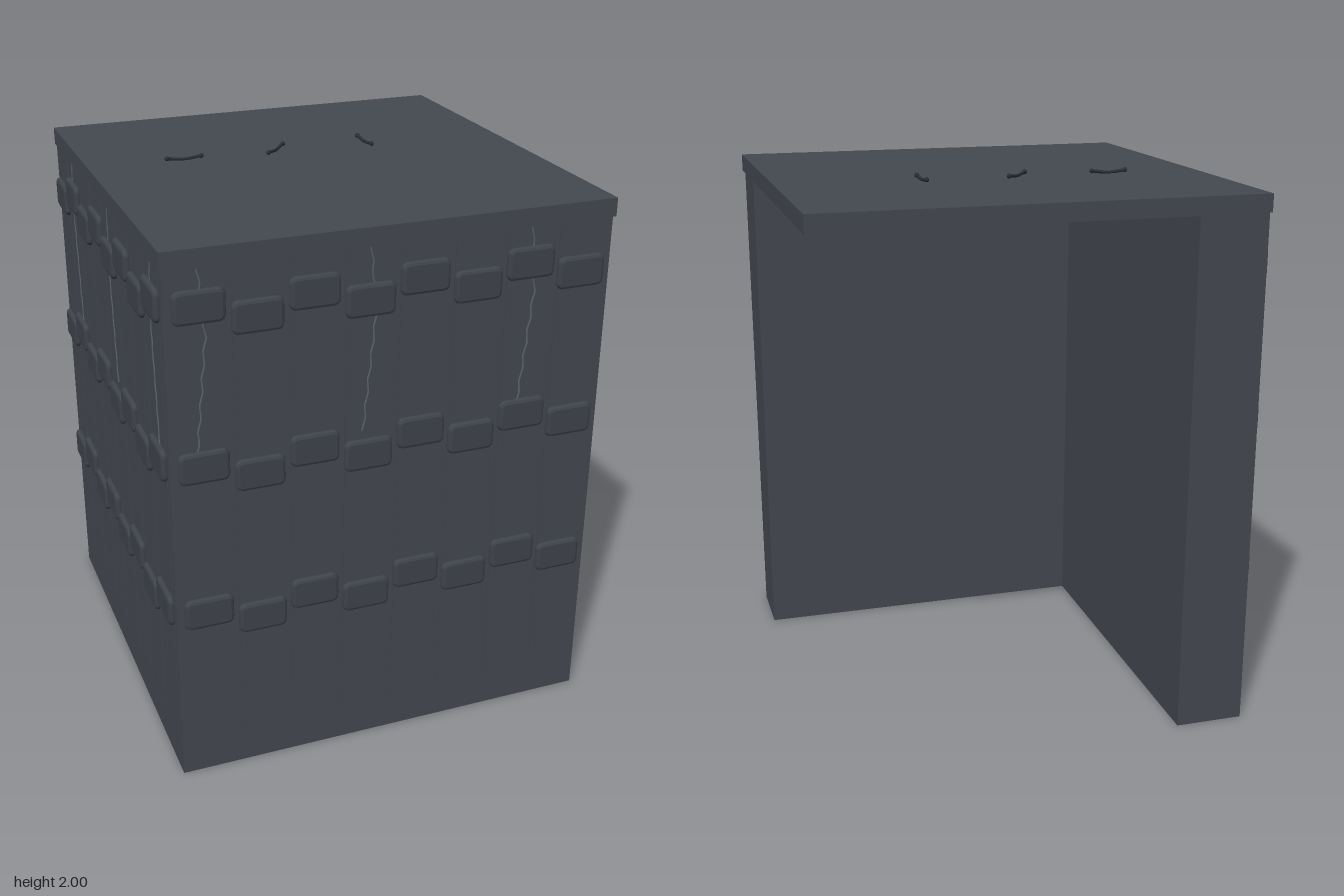
import * as THREE from 'three';

const mat = (name, color) => {
  const m = new THREE.MeshStandardMaterial({ color });
  m.name = name;
  return m;
};

export function createModel() {
  const model = new THREE.Group();
  model.name = 'cornerWall';
  const wallMat = mat('slate', 0x444951);
  const stoneMat = mat('darkStone', 0x3f434b);
  const crackMat = mat('paleCrack', 0x59636b);
  const rodMat = mat('darkIron', 0x2b2e34);

  const add = (parent, name, geo, material, x = 0, y = 0, z = 0) => {
    const m = new THREE.Mesh(geo, material);
    m.name = name;
    m.position.set(x, y, z);
    parent.add(m);
    return m;
  };
  // Box given by its minimum and maximum corners
  const box = (parent, name, a, b, material) => add(parent, name,
    new THREE.BoxGeometry(b[0] - a[0], b[1] - a[1], b[2] - a[2]), material,
    (a[0] + b[0]) / 2, (a[1] + b[1]) / 2, (a[2] + b[2]) / 2);

  // Two walls meeting at a corner, and the roof slab
  box(model, 'frontWall', [-0.785, 0, 0.53], [0.795, 1.915, 0.785], wallMat);
  box(model, 'leftWall', [-0.785, 0, -0.795], [-0.53, 1.915, 0.53], wallMat);
  box(model, 'roofSlab', [-0.79, 1.915, -0.805], [0.805, 1.98, 0.79], wallMat);

  // Rounded, bevelled facing stone
  const bevel = 0.012, w = 0.0875 - bevel, h = 0.0575 - bevel, r = 0.012;
  const outline = new THREE.Shape();
  outline.absarc(w - r, h - r, r, 0, Math.PI / 2);
  outline.absarc(-w + r, h - r, r, Math.PI / 2, Math.PI);
  outline.absarc(-w + r, -h + r, r, Math.PI, Math.PI * 1.5);
  outline.absarc(w - r, -h + r, r, Math.PI * 1.5, Math.PI * 2);
  outline.closePath();
  const stoneGeo = new THREE.ExtrudeGeometry(outline, {
    depth: 0.006, bevelThickness: bevel, bevelSize: bevel, bevelSegments: 2, curveSegments: 3,
  });

  // Jagged hairline crack running down a wall, leaning slightly
  const crackGeo = (x, side) => {
    const path = new THREE.CurvePath();
    const pts = [];
    for (let i = 0; i <= 14; i++) {
      const t = i / 14;
      const lean = t < 0.35 ? 0.02 * t / 0.35 : 0.02 - 0.04 * (t - 0.35) / 0.65;
      const jag = (i % 2 ? 0.004 : -0.004);
      pts.push(new THREE.Vector3(side * (x + lean + jag), 1.915 - 0.65 * t, 0.788));
    }
    for (let i = 0; i < 14; i++) path.add(new THREE.LineCurve3(pts[i], pts[i + 1]));
    return new THREE.TubeGeometry(path, 28, 0.004, 5);
  };

  // Dressing of one wall; side -1 mirrors the layout about the corner
  const dressing = (name, side) => {
    const g = new THREE.Group();
    g.name = name;
    for (let i = 0; i < 8; i++) {
      const x = side * (-0.67 + i * 0.193);
      add(g, 'panelStrip', new THREE.BoxGeometry(0.17, 1.775, 0.008), wallMat, x, 1.0275, 0.784);
      for (const y of [1.79, 1.23, 0.67]) {
        add(g, 'facingStone', stoneGeo, stoneMat, x, i % 2 ? y - 0.055 : y, 0.787);
      }
    }
    for (const x of [-0.67, -0.09, 0.49]) add(g, 'crack', crackGeo(x, side), crackMat);
    model.add(g);
    return g;
  };
  dressing('frontDressing', 1);
  dressing('leftDressing', -1).rotation.y = -Math.PI / 2;

  // Small sagging rods with knobbed ends on the roof
  const rods = [
    [-0.5, -0.17, -0.37, -0.17],
    [-0.125, -0.122, -0.035, -0.22],
    [0.275, -0.235, 0.28, -0.105],
  ];
  for (const [x0, z0, x1, z1] of rods) {
    const g = new THREE.Group();
    g.name = 'roofRod';
    const a = new THREE.Vector3(x0, 1.991, z0), b = new THREE.Vector3(x1, 1.991, z1);
    const mid = a.clone().lerp(b, 0.5).setY(1.984);
    add(g, 'rod', new THREE.TubeGeometry(new THREE.CatmullRomCurve3([a, mid, b]), 10, 0.006, 8), rodMat);
    for (const p of [a, b]) add(g, 'rodKnob', new THREE.SphereGeometry(0.009, 10, 8), rodMat, p.x, p.y, p.z);
    model.add(g);
  }
  return model;
}
